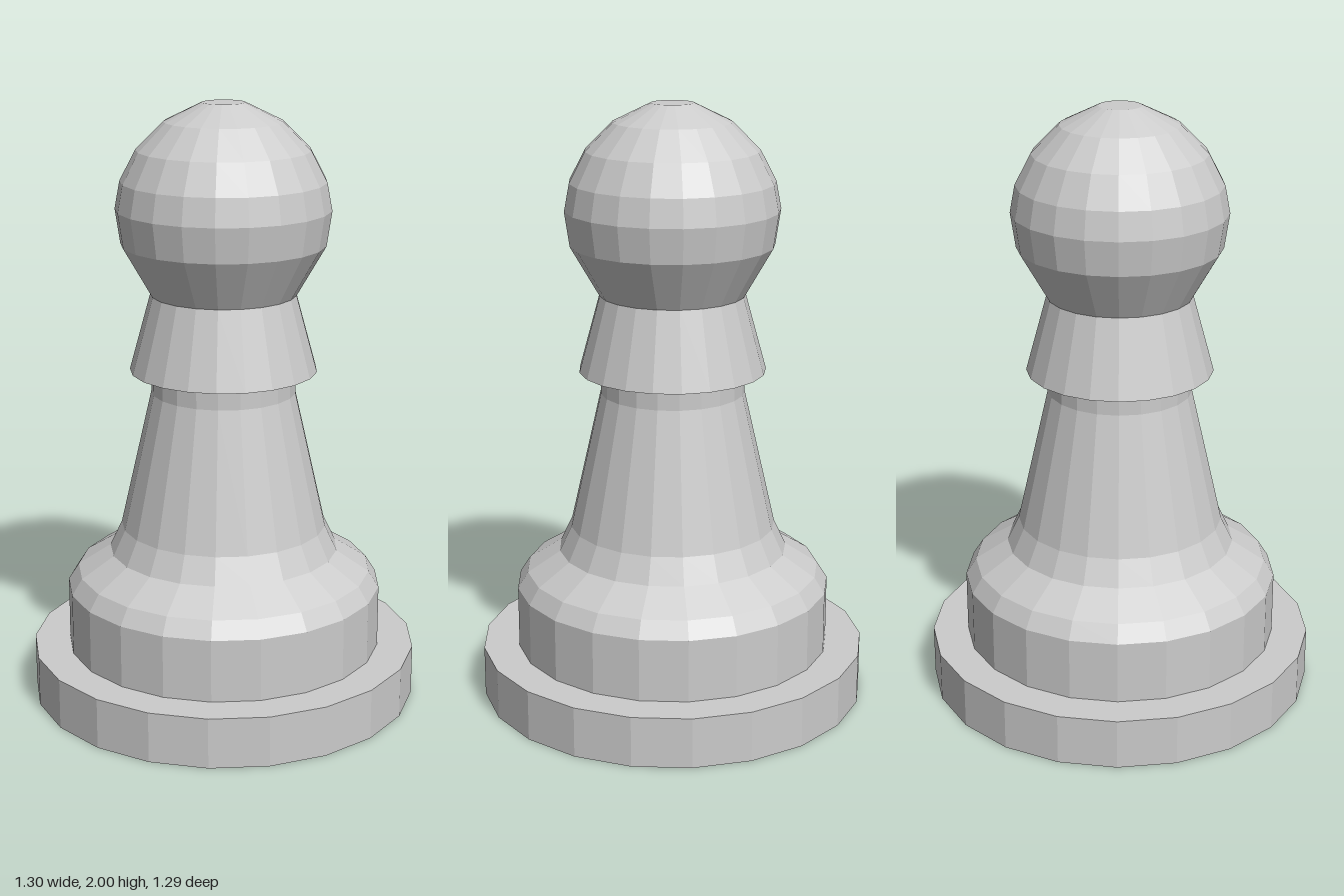
import * as THREE from 'three';

const SIDES = 21;

// Profiles as [radius, height], from bottom to top
const PROFILES = {
  base: [[0, 0], [0.65, 0], [0.65, 0.17], [0.53, 0.17]],
  foot: [[0.53, 0.17], [0.53, 0.38], [0.495, 0.435], [0.385, 0.505]],
  stem: [[0.385, 0.505], [0.345, 0.59], [0.24, 1.05], [0.24, 1.125]],
  collar: [[0.24, 1.125], [0.31, 1.125], [0.24, 1.38]],
  head: [
    [0.24, 1.38], [0.335, 1.545], [0.352, 1.66], [0.335, 1.75],
    [0.283, 1.85], [0.193, 1.94], [0.07, 2], [0, 2],
  ],
};

export function createModel() {
  const pawn = new THREE.Group();
  pawn.name = 'pawn';
  const material = new THREE.MeshStandardMaterial({ color: 0xcccccc, flatShading: true });

  // Every part is turned around the same axis, with one corner pointing back
  for (const [name, profile] of Object.entries(PROFILES)) {
    const points = profile.map(([r, y]) => new THREE.Vector2(r, y));
    const part = new THREE.Mesh(new THREE.LatheGeometry(points, SIDES, Math.PI), material);
    part.name = name;
    pawn.add(part);
  }
  return pawn;
}
